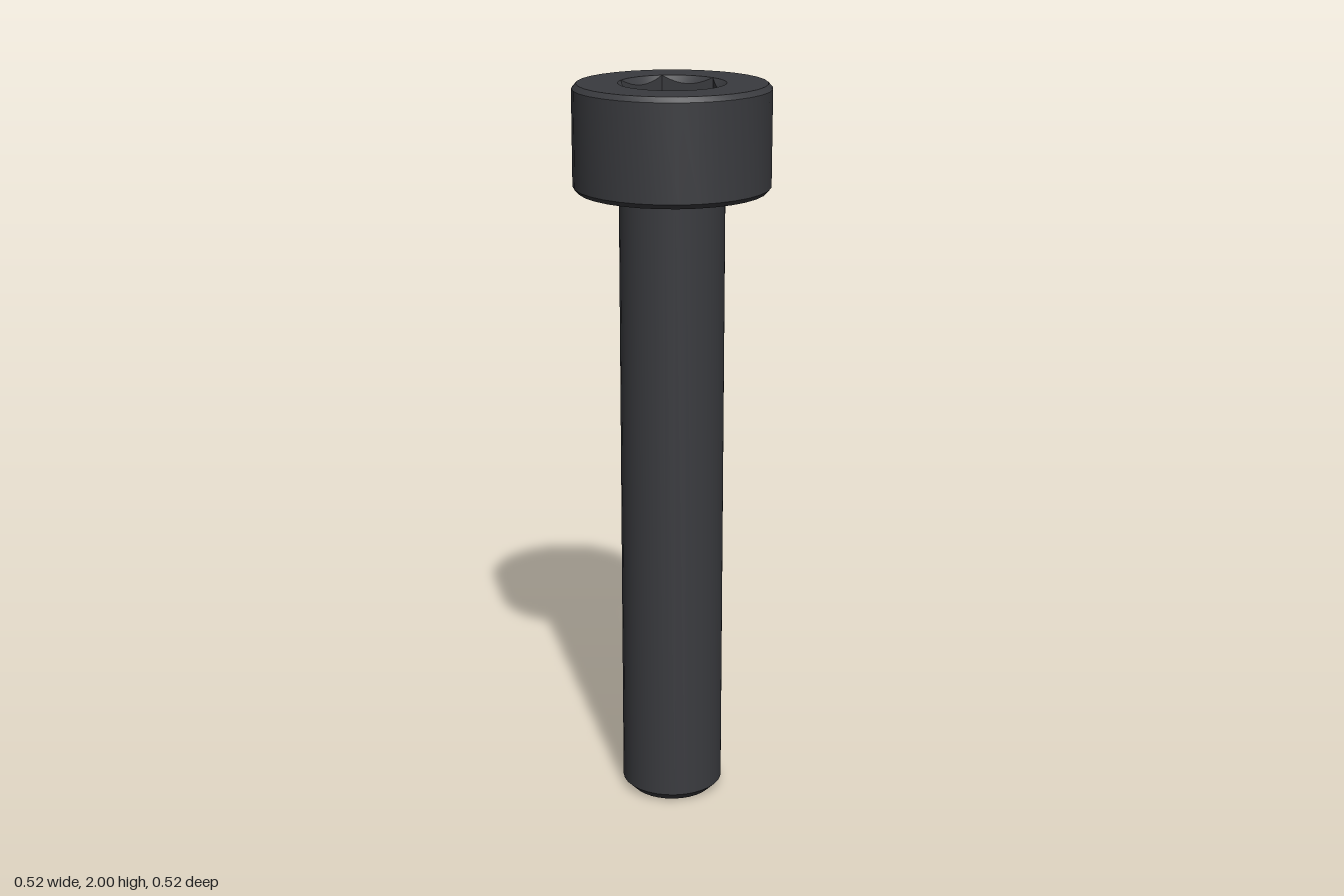
import * as THREE from 'three';
import { toCreasedNormals } from 'three/addons/utils/BufferGeometryUtils.js';

const SIDES = 32, RIM = 48;
const SOCKET_R = 0.141, SOCKET_DEPTH = 0.14, TOP = 2;

// Revolved profile with sharp chamfer edges
function revolve(profile) {
  const points = profile.map(([r, y]) => new THREE.Vector2(r, y));
  return toCreasedNormals(new THREE.LatheGeometry(points, SIDES), 0.4);
}

// Points evenly spaced on a circle
function circle(radius, count) {
  return Array.from({ length: count }, (_, i) => {
    const a = (i / count) * Math.PI * 2;
    return new THREE.Vector2(radius * Math.cos(a), radius * Math.sin(a));
  });
}

// Hexagonal recess: round rim, conical scallops, flat walls, flat floor
function socketGeometry() {
  const sector = Math.PI / 3;
  const hexRadius = (a) => SOCKET_R * Math.cos(sector / 2) / Math.cos((a % sector) - sector / 2);
  const rings = [
    () => [SOCKET_R, TOP],
    (a) => [hexRadius(a), TOP - (SOCKET_R - hexRadius(a))],
    (a) => [hexRadius(a), TOP - SOCKET_DEPTH],
    () => [0, TOP - SOCKET_DEPTH],
  ];
  const positions = [], indices = [];
  for (const ring of rings) {
    for (let i = 0; i < RIM; i++) {
      const a = (i / RIM) * Math.PI * 2;
      const [r, y] = ring(a);
      positions.push(r * Math.cos(a), y, r * Math.sin(a));
    }
  }
  for (let k = 0; k < rings.length - 1; k++) {
    for (let i = 0; i < RIM; i++) {
      const j = (i + 1) % RIM;
      const u0 = k * RIM + i, u1 = k * RIM + j;
      const l0 = u0 + RIM, l1 = u1 + RIM;
      indices.push(u0, l0, u1);
      if (k < rings.length - 2) indices.push(l0, l1, u1);
    }
  }
  const geometry = new THREE.BufferGeometry();
  geometry.setAttribute('position', new THREE.Float32BufferAttribute(positions, 3));
  geometry.setIndex(indices);
  return toCreasedNormals(geometry, 0.4);
}

export function createModel() {
  const group = new THREE.Group();
  group.name = 'socketHeadBolt';
  const material = new THREE.MeshStandardMaterial({ color: 0x3a3b3f });
  const add = (name, geometry) => {
    const mesh = new THREE.Mesh(geometry, material);
    mesh.name = name;
    group.add(mesh);
  };

  // Shank with chamfered tip
  add('shank', revolve([[0, 0], [0.115, 0], [0.14, 0.025], [0.14, 1.72]]));

  // Head: underside, side wall and both chamfers
  add('head', revolve([[0.14, 1.72], [0.249, 1.72], [0.261, 1.733], [0.261, 1.987], [0.249, TOP]]));

  // Flat ring around the socket
  const ring = new THREE.Shape(circle(0.249, SIDES));
  ring.holes.push(new THREE.Path(circle(SOCKET_R, RIM)));
  add('headTop', new THREE.ShapeGeometry(ring).rotateX(-Math.PI / 2).translate(0, TOP, 0));

  // Hex drive
  add('hexSocket', socketGeometry());

  return group;
}
